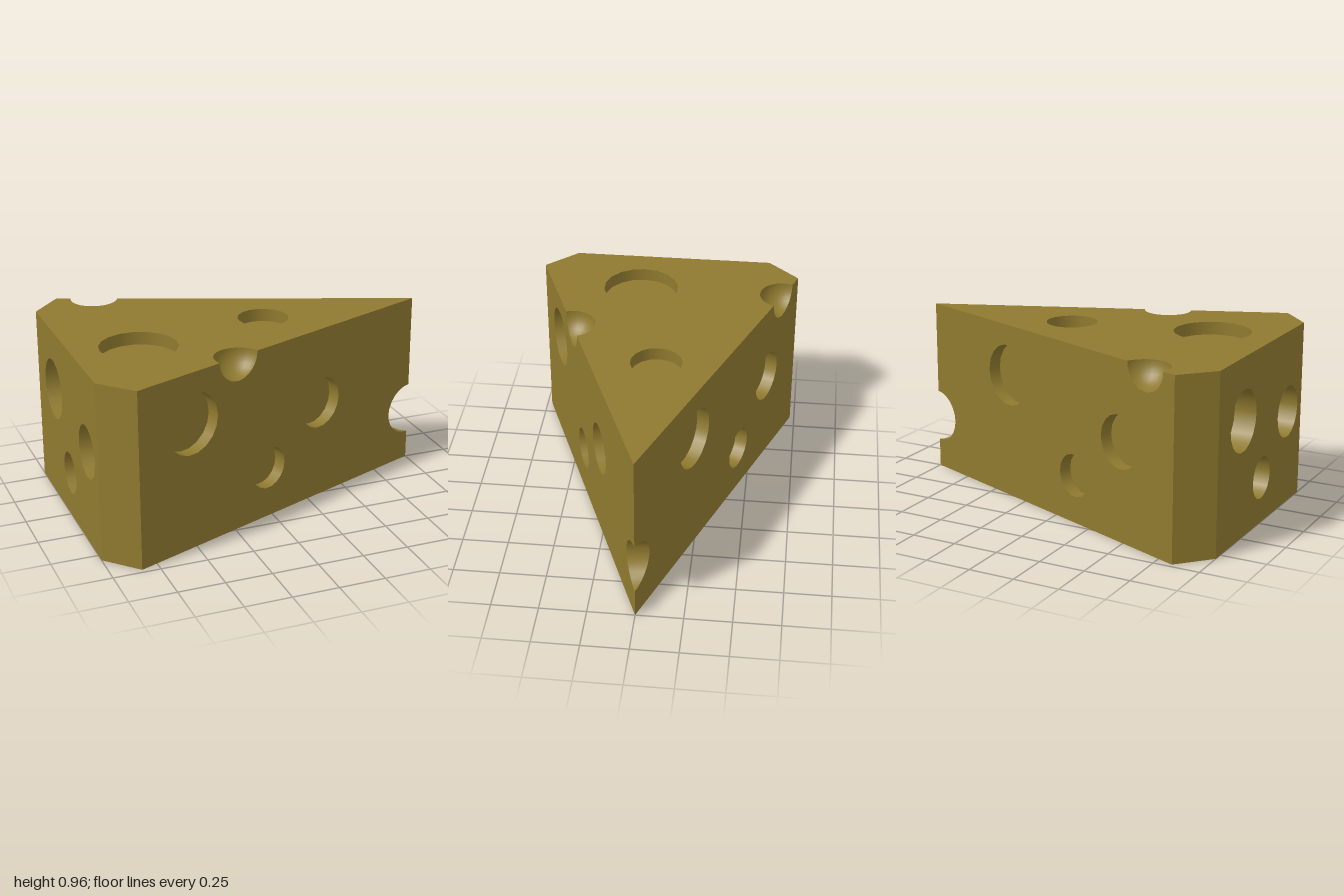
import * as THREE from 'three';

const H = 0.965, TIP_Y = 0.305, NOTCH = 0.13;
const HALF = 0.725, RUN = 1.84;                 // half width and length of the tapered sides
const L = Math.hypot(RUN, HALF), TAPER = Math.atan2(HALF, RUN);
const SEG = 18;

const material = new THREE.MeshStandardMaterial({ color: 0x8f7a2f, side: THREE.DoubleSide });

// Points along an elliptical arc
function arc(cx, cy, rx, ry, from, to, n = 12) {
  return Array.from({ length: n + 1 }, (_, i) => {
    const a = from + (to - from) * i / n;
    return new THREE.Vector2(cx + rx * Math.cos(a), cy + ry * Math.sin(a));
  });
}
const pt = (x, y) => new THREE.Vector2(x, y);

function mesh(name, geometry) {
  const m = new THREE.Mesh(geometry, material);
  m.name = name;
  return m;
}

// Flat face in its own xy plane (outside is +z), with round blind holes [x, y, radius]
function face(name, outline, holes = [], depth = 0.07) {
  const group = new THREE.Group();
  group.name = name;
  const shape = new THREE.Shape(outline);
  for (const [x, y, r] of holes) {
    shape.holes.push(new THREE.Path(arc(x, y, r, r, 0, -Math.PI * 2, SEG).slice(0, -1)));
    const wall = mesh('holeWall', new THREE.CylinderGeometry(r, r, depth, SEG, 1, true)
      .rotateY(Math.PI / 2).rotateX(Math.PI / 2));
    wall.position.set(x, y, -depth / 2);
    const floor = mesh('holeFloor', new THREE.CircleGeometry(r, SEG));
    floor.position.set(x, y, -depth);
    group.add(wall, floor);
  }
  group.add(mesh(name + 'Skin', new THREE.ShapeGeometry(shape)));
  return group;
}

// Stand a face upright between two plan points, left to right as seen from outside
function stand(group, [ax, az], [bx, bz]) {
  group.position.set(ax, 0, az);
  group.rotation.y = Math.atan2(-(bz - az), bx - ax);
  return group;
}
const rect = (w) => [pt(0, 0), pt(w, 0), pt(w, H), pt(0, H)];

// Tapered side: holes and the top notch are given by their x in the model
function side(name, holes, notchX, mirrored) {
  const along = (x) => L - (1 - x) / RUN * L;
  const flip = (u) => (mirrored ? L - u : u);
  const n = along(notchX);
  const outline = [
    pt(0, 0), pt(L, 0),
    ...arc(L, TIP_Y, 0.15 * L / RUN, 0.145, -Math.PI / 2, -Math.PI * 1.5),
    pt(L, H),
    ...arc(n, H, NOTCH, NOTCH, 0, -Math.PI),
    pt(0, H),
  ].map((p) => pt(flip(p.x), p.y));
  const group = face(name, outline, holes.map(([x, y, r]) => [flip(along(x)), y, r]));
  // Quarter sphere scooped from the top edge
  const scoop = mesh('edgeScoop',
    new THREE.SphereGeometry(NOTCH, 12, 8, Math.PI, Math.PI, Math.PI / 2, Math.PI / 2));
  scoop.position.set(flip(n), H, 0);
  group.add(scoop);
  return group;
}

export function createModel() {
  const model = new THREE.Group();
  model.name = 'cheeseWedge';
  const tip = [1, 0], B = 0.555, X = 1 - RUN;
  const frontNotch = -0.225, backNotch = -0.645;
  const edgeZ = (x) => (1 - x) * HALF / RUN;

  // Two long sides with holes and scoops
  model.add(stand(side('frontSide',
    [[-0.515, 0.69, 0.168], [0.33, 0.545, 0.143], [-0.025, 0.28, 0.116]], frontNotch, false),
  [X, HALF], tip));
  model.add(stand(side('backSide',
    [[0.378, 0.685, 0.168], [-0.472, 0.533, 0.143], [-0.14, 0.26, 0.116]], backNotch, true),
  tip, [X, -HALF]));

  // Rind end with its holes, and the two cut corners
  model.add(stand(face('rindEnd', rect(2 * B),
    [[B - 0.247, 0.63, 0.166], [B + 0.36, 0.518, 0.143], [B + 0.016, 0.25, 0.115]], 0.12),
  [-1, -B], [-1, B]));
  const chamfer = Math.hypot(1 + X, HALF - B);
  model.add(stand(face('frontCorner', rect(chamfer)), [-1, B], [X, HALF]));
  model.add(stand(face('backCorner', rect(chamfer)), [X, -HALF], [-1, -B]));

  // Top, with the scoops cut out of its edges
  const top = face('top', [
    pt(1, 0),
    ...arc(backNotch, edgeZ(backNotch), NOTCH, NOTCH, -TAPER, -TAPER - Math.PI),
    pt(X, HALF), pt(-1, B), pt(-1, -B), pt(X, -HALF),
    ...arc(frontNotch, -edgeZ(frontNotch), NOTCH, NOTCH, Math.PI + TAPER, TAPER),
  ], [[-0.645, -0.15, 0.207], [0.11, 0.015, 0.138]]);
  top.rotation.x = -Math.PI / 2;
  top.position.y = H;
  model.add(top);

  // Underside
  const bottom = face('bottom', [pt(1, 0), pt(X, HALF), pt(-1, B), pt(-1, -B), pt(X, -HALF)]);
  bottom.rotation.x = Math.PI / 2;
  model.add(bottom);

  // Round bite through the sharp tip: a strip bent along the arc, as wide as the wedge there
  const bite = new THREE.PlaneGeometry(2, 2, 1, 12);
  const p = bite.attributes.position;
  for (let i = 0; i < p.count; i++) {
    const a = p.getY(i) * Math.PI / 2;
    const x = 1 - 0.15 * Math.cos(a);
    p.setXYZ(i, x, TIP_Y + 0.145 * Math.sin(a), -p.getX(i) * edgeZ(x));
  }
  bite.computeVertexNormals();
  model.add(mesh('tipBite', bite));

  return model;
}
